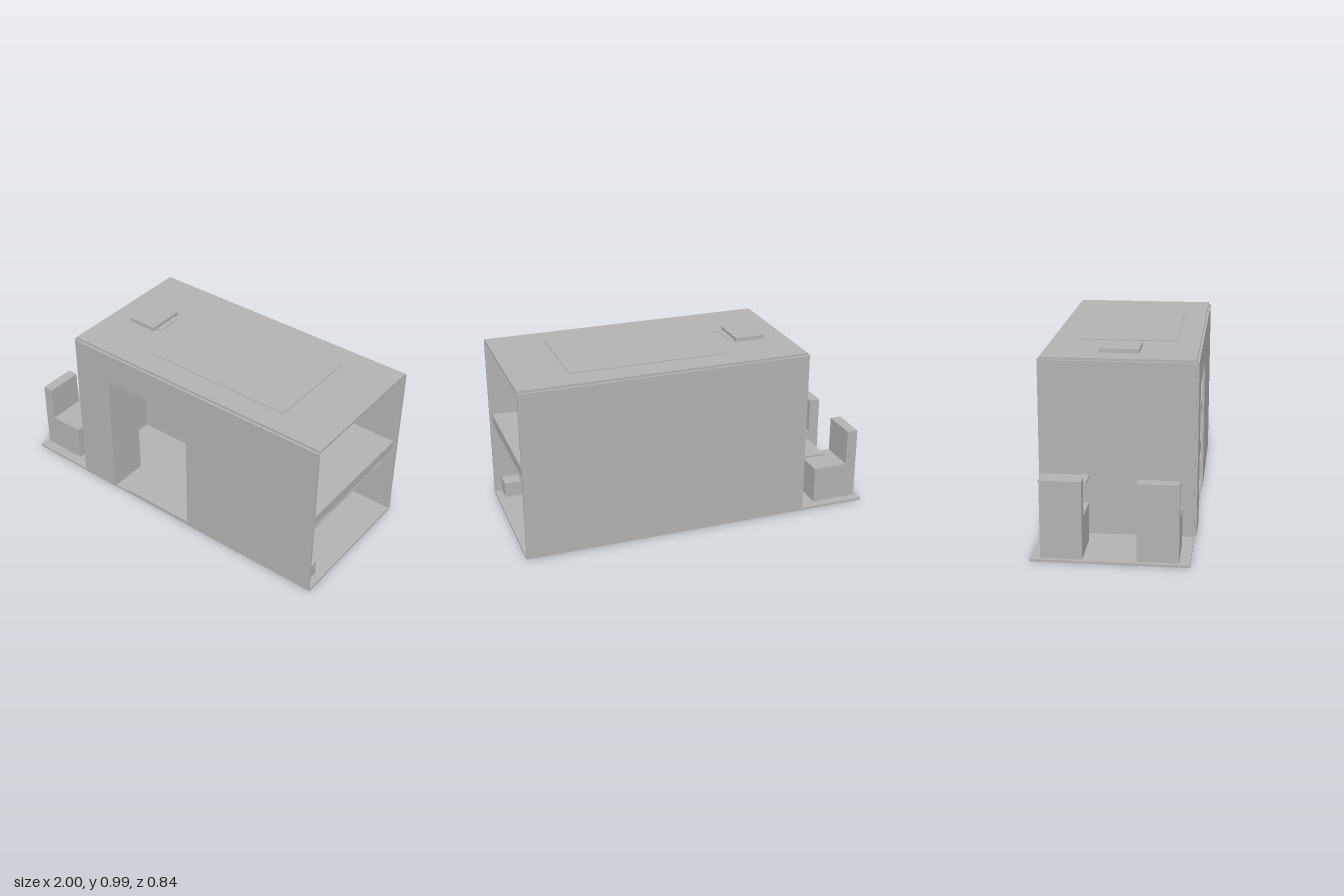
import * as THREE from 'three';

export function createModel() {
  const van = new THREE.Group();
  van.name = 'camperVan';
  const grey = new THREE.MeshStandardMaterial({ color: 0xb2b2b2 });
  grey.name = 'plainGrey';

  // box given by its limits on each axis
  function box(name, [x0, x1], [y0, y1], [z0, z1]) {
    const mesh = new THREE.Mesh(new THREE.BoxGeometry(x1 - x0, y1 - y0, z1 - z0), grey);
    mesh.position.set((x0 + x1) / 2, (y0 + y1) / 2, (z0 + z1) / 2);
    mesh.name = name;
    van.add(mesh);
    return mesh;
  }

  // shell
  const width = [-0.407, 0.407];
  box('floor', [-1, 1], [0, 0.013], width);
  box('roof', [-0.61, 1], [0.957, 0.97], width);
  box('bulkhead', [-0.624, -0.61], [0.013, 0.957], width);
  box('backWall', [-0.61, 1], [0.013, 0.957], [-0.42, -0.407]);

  // front wall with the sliding door opening reaching the floor
  const outline = [[-0.61, 0.013], [-0.375, 0.013], [-0.375, 0.78], [0.17, 0.78],
    [0.17, 0.013], [1, 0.013], [1, 0.957], [-0.61, 0.957]];
  const wallShape = new THREE.Shape(outline.map(([x, y]) => new THREE.Vector2(x, y)));
  const frontWall = new THREE.Mesh(
    new THREE.ExtrudeGeometry(wallShape, { depth: 0.013, bevelEnabled: false }), grey);
  frontWall.position.z = 0.407;
  frontWall.name = 'frontWall';
  van.add(frontWall);

  // roof fittings
  box('solarPanel', [-0.18, 0.69], [0.97, 0.975], [-0.267, 0.276]);
  box('ventBase', [-0.45, -0.28], [0.97, 0.974], [-0.083, 0.07]);
  box('roofVent', [-0.48, -0.31], [0.97, 0.992], [-0.115, 0.1]);

  // cab seats, each an L-shaped profile
  const seatProfile = [[-0.98, 0.013], [-0.72, 0.013], [-0.72, 0.222], [-0.918, 0.222],
    [-0.918, 0.427], [-0.98, 0.427]];
  const seatShape = new THREE.Shape(seatProfile.map(([x, y]) => new THREE.Vector2(x, y)));
  for (const z of [-0.355, 0.135]) {
    const seat = new THREE.Mesh(
      new THREE.ExtrudeGeometry(seatShape, { depth: 0.215, bevelEnabled: false }), grey);
    seat.position.z = z;
    seat.name = 'cabSeat';
    van.add(seat);
  }
  box('cabShelf', [-0.742, -0.624], [0.33, 0.342], [-0.405, -0.15]);

  // living area
  box('tallCabinet', [-0.61, -0.375], [0.013, 0.795], [0.19, 0.407]);
  box('kitchenCabinet', [-0.61, -0.133], [0.013, 0.403], [-0.407, -0.145]);
  box('kitchenTop', [-0.58, -0.17], [0.403, 0.42], [-0.397, -0.155]);
  box('entryMat', [-0.282, 0.17], [0.013, 0.023], [0.233, 0.407]);

  // bed at the rear
  box('bedPlatform', [0.2, 0.99], [0.437, 0.445], width);
  box('mattress', [0.2, 0.985], [0.445, 0.51], [-0.396, 0.4]);

  // wheel arches and storage under the bed
  for (const side of [-1, 1]) {
    const span = (a, b) => (side > 0 ? [a, b] : [-b, -a]);
    box('wheelArch', [0.36, 0.76], [0.013, 0.125], span(0.31, 0.407));
    box('storageBox', [0.23, 0.585], [0.021, 0.202], span(0.184, 0.39));
  }
  box('smallBox', [0.78, 0.96], [0.021, 0.108], [0.296, 0.39]);

  return van;
}
